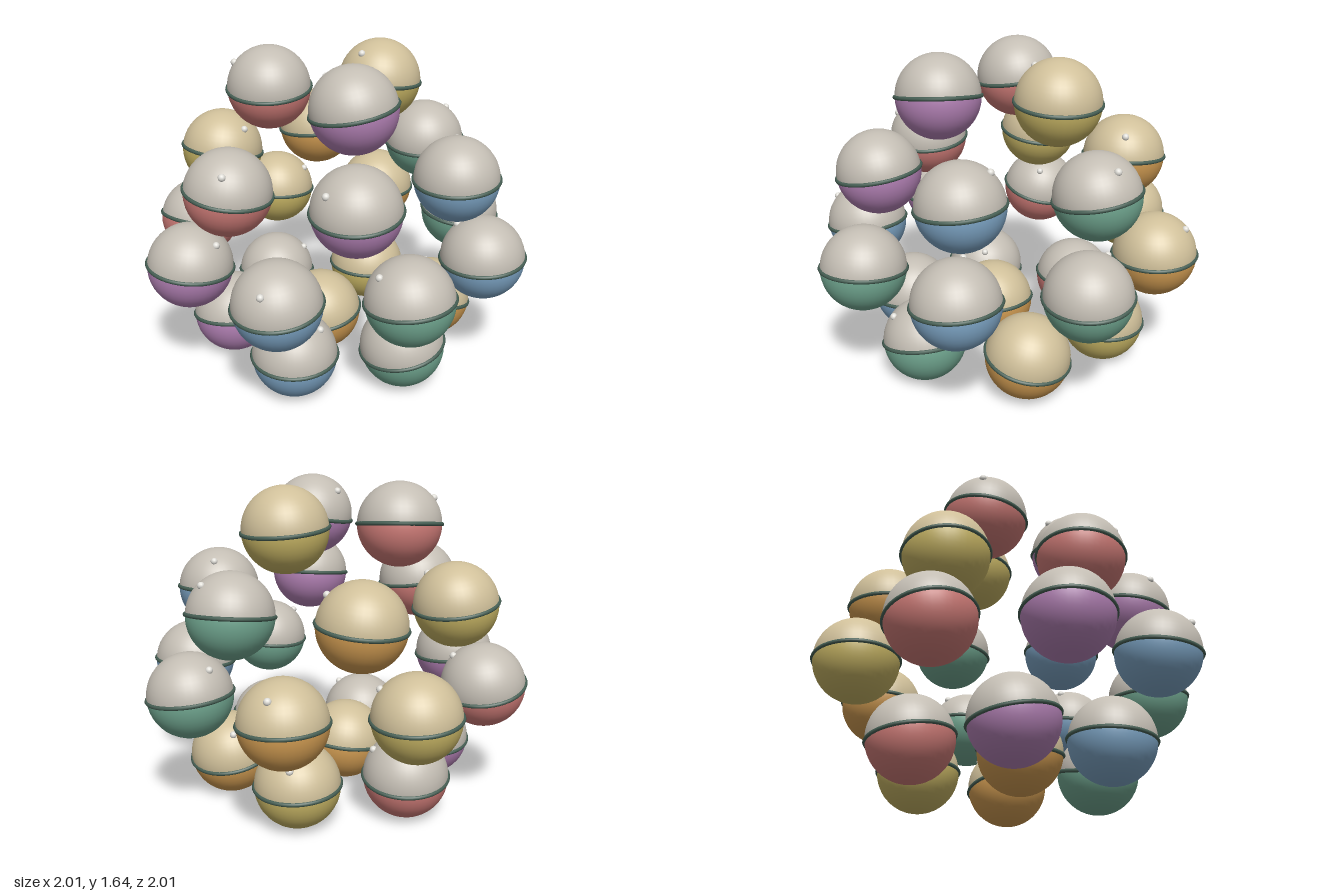
import * as THREE from 'three';

const R = 0.2145;

function mat(name, color) {
  const m = new THREE.MeshStandardMaterial({ color });
  m.name = name;
  return m;
}

export function createModel() {
  const grey = mat('warm grey', 0xc4beb4);
  const cream = mat('cream', 0xd0c09a);
  const bandMat = mat('dark green', 0x465f54);
  const beadMat = mat('off white', 0xe0ded8);

  // lower shell colours, repeated in this order ball after ball
  const shells = [
    [mat('orange', 0xcc9850), cream],
    [mat('green', 0x6fa48e), grey],
    [mat('blue', 0x7ba2c2), grey],
    [mat('purple', 0xb07fb2), grey],
    [mat('red', 0xcc7a76), grey],
    [mat('yellow', 0xc2b062), cream],
  ];

  // shared geometries
  const upperGeo = new THREE.SphereGeometry(R, 40, 12, 0, Math.PI * 2, 0, Math.PI / 2);
  const lowerGeo = new THREE.SphereGeometry(R, 40, 12, 0, Math.PI * 2, Math.PI / 2, Math.PI / 2);
  const bandGeo = new THREE.TorusGeometry(R - 0.001, 0.0105, 8, 48).rotateX(Math.PI / 2);
  const beadGeo = new THREE.SphereGeometry(0.0185, 14, 10);

  // each ball: [seam slope along x, seam slope along z, bead offset x, bead offset z]
  const layers = [
    { y: 0.232, radius: 0, start: 0, z: 0.095, balls: [[0, -0.15, 0.045, 0.14]] },
    { y: 0.232, radius: 0.55, start: 0, z: 0, balls: [
      [0.06, -0.2, 0.14, 0.07], [-0.05, -0.04, 0.12, -0.07], [0.14, 0.08, 0.11, -0.12],
      [0.1, 0.1, 0.1, -0.13], [0, 0.05, -0.1, -0.13], [0.05, 0.22, -0.13, -0.08]] },
    { y: 0.647, radius: 0.8, start: 13, z: 0, balls: [
      [0.1, -0.05, -0.048, 0.15], [-0.04, -0.12, 0.09, 0.15], [-0.07, 0.1, 0.15, -0.065],
      [0.05, 0.25, 0.11, -0.11], [0, 0.07, 0.13, -0.11], [-0.05, 0, -0.065, -0.135],
      [-0.1, 0.05, -0.145, 0.02], [0, -0.09, -0.11, 0.08]] },
    { y: 1.062, radius: 0.65, start: 30, z: 0, balls: [
      [-0.09, -0.13, 0.005, 0.18], [-0.12, 0.09, 0.128, 0.107], [-0.02, 0.17, 0.16, -0.04],
      [0.08, -0.05, 0.118, -0.107], [-0.1, -0.15, 0.027, -0.14], [-0.04, -0.09, -0.1, -0.095]] },
    { y: 1.444, radius: 0.344, start: 23.4, z: 0, balls: [
      [0.11, -0.15, -0.166, 0.032], [-0.11, -0.11, -0.1, 0.14], [-0.03, 0.08, 0.021, 0.144]] },
  ];

  const model = new THREE.Group();
  model.name = 'ballPile';
  const up = new THREE.Vector3(0, 1, 0);
  let count = 0;

  for (const layer of layers) {
    layer.balls.forEach(([sx, sz, bx, bz], i) => {
      const a = THREE.MathUtils.degToRad(layer.start + (i * 360) / layer.balls.length);
      const [lowerMat, upperMat] = shells[count++ % shells.length];
      const ball = new THREE.Group();
      ball.name = 'ball' + count;
      ball.position.set(layer.radius * Math.cos(a), layer.y, layer.z + layer.radius * Math.sin(a));

      // two half shells and the seam band, tilted together
      const shell = new THREE.Group();
      shell.name = 'shell';
      shell.quaternion.setFromUnitVectors(up, new THREE.Vector3(-sx, 1, -sz).normalize());
      const parts = [['upperShell', upperGeo, upperMat], ['lowerShell', lowerGeo, lowerMat], ['seamBand', bandGeo, bandMat]];
      for (const [name, geo, material] of parts) {
        const mesh = new THREE.Mesh(geo, material);
        mesh.name = name;
        shell.add(mesh);
      }

      // small bead resting on the upper shell
      const bead = new THREE.Mesh(beadGeo, beadMat);
      bead.name = 'bead';
      bead.position.set(bx, Math.sqrt(R * R - bx * bx - bz * bz), bz);
      ball.add(shell, bead);
      model.add(ball);
    });
  }
  return model;
}
